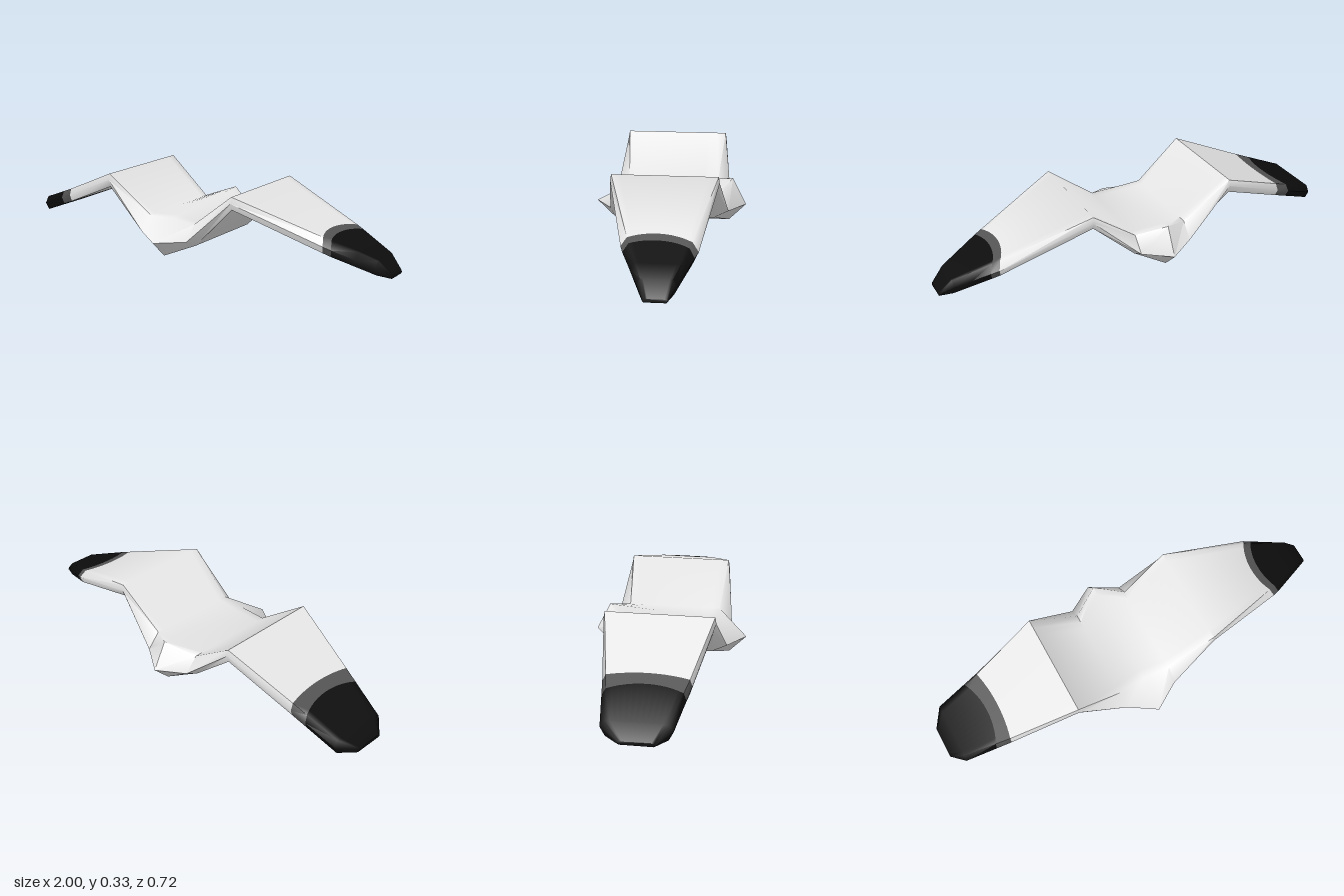
import * as THREE from 'three';
import { toCreasedNormals } from 'three/addons/utils/BufferGeometryUtils.js';

// Cross-sections along the span:
// x, [front top, front mid, front bottom] z, [back top, back mid, back bottom] z,
// [front top, back top, mid, bottom] y
const SECTIONS = [
  [-1.00, [0.07, 0.075, 0.07], [-0.07, -0.08, -0.07], [0.045, 0.045, 0.035, 0.03]],
  [-0.94, [0.12, 0.14, 0.12], [-0.14, -0.16, -0.14], [0.10, 0.10, 0.07, 0.03]],
  [-0.70, [0.18, 0.19, 0.18], [-0.18, -0.195, -0.18], [0.195, 0.195, 0.165, 0.13]],
  [-0.39, [0.245, 0.25, 0.24], [-0.245, -0.25, -0.24], [0.33, 0.33, 0.30, 0.265]],
  [-0.16, [0.22, 0.28, 0.21], [-0.22, -0.28, -0.21], [0.16, 0.16, 0.09, 0.055]],
  [-0.03, [0.21, 0.36, 0.28], [-0.295, -0.36, -0.28], [0.165, 0.21, 0.08, 0.0]],
  [0.10, [0.22, 0.28, 0.21], [-0.22, -0.28, -0.21], [0.16, 0.16, 0.09, 0.055]],
  [0.32, [0.24, 0.245, 0.235], [-0.24, -0.245, -0.235], [0.33, 0.33, 0.30, 0.27]],
  [0.75, [0.11, 0.14, 0.125], [-0.15, -0.18, -0.165], [0.18, 0.18, 0.15, 0.115]],
  [0.94, [0.04, 0.055, 0.045], [-0.09, -0.105, -0.095], [0.11, 0.11, 0.08, 0.045]],
  [1.00, [0.02, 0.025, 0.02], [-0.07, -0.075, -0.07], [0.05, 0.05, 0.04, 0.035]],
];
const ACROSS = 12; // divisions from leading to trailing edge

// Closed ring: over the top to the back, then along the underside to the front
function ringOf([x, f, b, y]) {
  const ring = [];
  for (let i = 0; i <= ACROSS; i++) {
    const t = i / ACROSS;
    ring.push(new THREE.Vector3(x, THREE.MathUtils.lerp(y[0], y[1], t), THREE.MathUtils.lerp(f[0], b[0], t)));
  }
  ring.push(new THREE.Vector3(x, y[2], b[1]));
  for (let i = 0; i <= ACROSS; i++) {
    ring.push(new THREE.Vector3(x, y[3], THREE.MathUtils.lerp(b[2], f[2], i / ACROSS)));
  }
  ring.push(new THREE.Vector3(x, y[2], f[1]));
  return ring;
}
const RINGS = SECTIONS.map(ringOf);

// Point i of the ring at any x along the span
function pointAt(x, i) {
  let k = 0;
  while (k < SECTIONS.length - 2 && x > SECTIONS[k + 1][0]) k++;
  const t = (x - SECTIONS[k][0]) / (SECTIONS[k + 1][0] - SECTIONS[k][0]);
  return RINGS[k][i].clone().lerp(RINGS[k + 1][i], t);
}

// Station whose x bows outward toward both wing edges, for the curved colour borders
function station(x, bow = 0) {
  return RINGS[0].map((_, i) => {
    const z = pointAt(x, i).z / 0.18;
    return pointAt(x + Math.sign(x) * bow * z * z, i);
  });
}

// Skin a run of stations, closing the wing tip where asked
function skin(stations, capStart = false, capEnd = false) {
  const pos = [];
  const tri = (...pts) => pts.forEach((p) => pos.push(p.x, p.y, p.z));
  const n = RINGS[0].length;
  for (let s = 0; s < stations.length - 1; s++) {
    const [p, q] = [stations[s], stations[s + 1]];
    for (let i = 0; i < n; i++) {
      const j = (i + 1) % n;
      tri(p[i], q[i], q[j]);
      tri(p[i], q[j], p[j]);
    }
  }
  const first = stations[0], last = stations[stations.length - 1];
  for (let i = 1; i < n - 1; i++) {
    if (capStart) tri(first[0], first[i], first[i + 1]);
    if (capEnd) tri(last[0], last[i + 1], last[i]);
  }
  const geo = new THREE.BufferGeometry();
  geo.setAttribute('position', new THREE.Float32BufferAttribute(pos, 3));
  return toCreasedNormals(geo, 1.0);
}

export function createModel() {
  const group = new THREE.Group();
  const mat = (name, color) => {
    const m = new THREE.MeshStandardMaterial({ color });
    m.name = name;
    return m;
  };
  const white = mat('white feathers', 0xe6e6e6);
  const grey = mat('grey feathers', 0x545454);
  const black = mat('black feathers', 0x0d0d0d);

  const add = (name, geo, material) => {
    const mesh = new THREE.Mesh(geo, material);
    mesh.name = name;
    group.add(mesh);
  };

  // Colour borders on each wing
  const rightBlack = station(-0.75, 0.04), rightGrey = station(-0.695, 0.02);
  const leftGrey = station(0.69, 0.055), leftBlack = station(0.73, 0.055);

  // Body with inner wings, from border to border
  const inner = [-0.39, -0.16, -0.03, 0.10, 0.32].map((x) => station(x));
  add('bodyAndWings', skin([rightGrey, ...inner, leftGrey]), white);

  // Grey bands
  add('rightWingBand', skin([rightBlack, rightGrey]), grey);
  add('leftWingBand', skin([leftGrey, leftBlack]), grey);

  // Black wing tips
  add('rightWingTip', skin([station(-1), station(-0.94), rightBlack], true, false), black);
  add('leftWingTip', skin([leftBlack, station(0.86), station(0.94), station(1)], false, true), black);

  return group;
}
